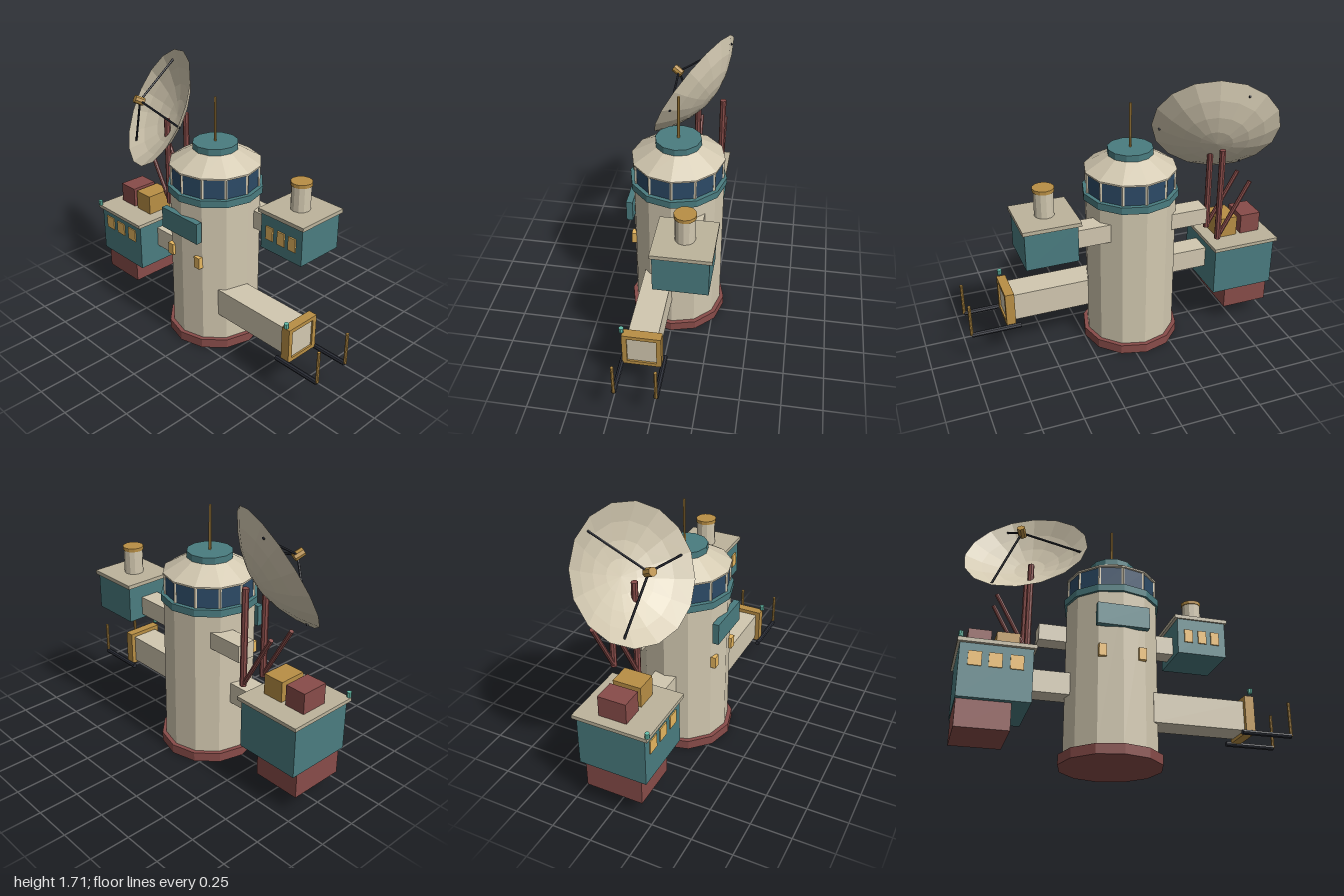
import * as THREE from 'three';

const mat = (color, side = THREE.FrontSide) => {
  const m = new THREE.MeshStandardMaterial({ color, side });
  m.flatShading = true;
  return m;
};
const cream = mat(0xd2c8b0), roofing = mat(0xbdb49c), teal = mat(0x4a7c80), red = mat(0x884c49);
const gold = mat(0xb98f45), amber = mat(0xe8b860), glass = mat(0x2c4a66), dark = mat(0x2a2d36), lampGreen = mat(0x66c0ac);

const TX = -0.065; // tower axis

export function createModel() {
  const root = new THREE.Group();

  const add = (parent, name, geo, m) => {
    const mesh = new THREE.Mesh(geo, m);
    mesh.name = name;
    parent.add(mesh);
    return mesh;
  };
  // box from its low and high corners
  const box = (name, m, [x0, x1], [y0, y1], [z0, z1]) => {
    const b = add(root, name, new THREE.BoxGeometry(x1 - x0, y1 - y0, z1 - z0), m);
    b.position.set((x0 + x1) / 2, (y0 + y1) / 2, (z0 + z1) / 2);
    return b;
  };
  // upright cylinder or frustum
  const drum = (name, m, x, z, [y0, y1], r0, r1 = r0, sides = 12) => {
    const d = add(root, name, new THREE.CylinderGeometry(r1, r0, y1 - y0, sides), m);
    d.position.set(x, (y0 + y1) / 2, z);
    return d;
  };
  // round rod between two points
  const rod = (parent, name, m, from, to, r, sides = 8) => {
    const a = new THREE.Vector3(...from), b = new THREE.Vector3(...to);
    const d = add(parent, name, new THREE.CylinderGeometry(r, r, a.distanceTo(b), sides), m);
    d.position.copy(a).lerp(b, 0.5);
    d.quaternion.setFromUnitVectors(new THREE.Vector3(0, 1, 0), b.sub(a).normalize());
    return d;
  };

  // Tower
  drum('towerBase', red, TX, 0, [0, 0.06], 0.31);
  drum('towerBody', cream, TX, 0, [0.06, 1.0], 0.283);
  drum('towerRing', teal, TX, 0, [1.0, 1.045], 0.298);
  drum('controlRoomGlass', glass, TX, 0, [1.045, 1.17], 0.272);
  for (let i = 0; i < 12; i++) {
    const a = (i / 12) * Math.PI * 2;
    const bar = drum('windowBar', cream, TX + Math.sin(a) * 0.272, Math.cos(a) * 0.272, [1.045, 1.17], 0.009, 0.009, 4);
    bar.rotation.y = a;
  }
  drum('roofRim', cream, TX, 0, [1.17, 1.18], 0.285);
  drum('towerRoof', cream, TX, 0, [1.18, 1.265], 0.285, 0.14);
  drum('roofCap', teal, TX, 0, [1.265, 1.305], 0.14);
  drum('antenna', gold, TX, 0, [1.305, 1.58], 0.008, 0.008, 6);
  box('signBoard', teal, [-0.225, 0.09], [0.77, 0.905], [0.26, 0.3]);
  for (const x of [-0.12, 0, 0.12])
    box('towerWindow', amber, [TX + x - 0.023, TX + x + 0.023], [0.58, 0.655], [0.24, 0.275]);

  // Lower pod with roof crates
  box('lowerPodArm', cream, [-0.58, -0.25], [0.4, 0.535], [-0.07, 0.07]);
  box('lowerPod', teal, [-0.985, -0.57], [0.275, 0.595], [-0.215, 0.215]);
  box('lowerPodRoof', roofing, [-1.0, -0.555], [0.592, 0.615], [-0.237, 0.237]);
  box('lowerPodHold', red, [-0.98, -0.675], [0.115, 0.275], [-0.178, 0.182]);
  for (const x of [-0.897, -0.782, -0.662])
    box('lowerPodWindow', amber, [x - 0.038, x + 0.038], [0.46, 0.545], [0.21, 0.222]);
  box('redCrate', red, [-0.935, -0.8], [0.615, 0.745], [-0.1, 0.077]);
  box('goldCrate', gold, [-0.77, -0.635], [0.615, 0.745], [-0.1, 0.077]);
  drum('podLamp', lampGreen, -0.984, 0.232, [0.615, 0.648], 0.014, 0.014, 8);

  // Upper pod with chimney
  box('upperPodArm', cream, [0.05, 0.37], [0.79, 0.908], [-0.192, -0.068]);
  box('upperPod', teal, [0.36, 0.677], [0.765, 1.0], [-0.287, 0.033]);
  box('upperPodRoof', roofing, [0.342, 0.69], [0.998, 1.022], [-0.303, 0.045]);
  for (const x of [0.43, 0.52, 0.605])
    box('upperPodWindow', amber, [x - 0.027, x + 0.027], [0.84, 0.925], [0.025, 0.042]);
  drum('chimney', cream, 0.515, -0.129, [1.02, 1.178], 0.06);
  drum('chimneyCap', gold, 0.515, -0.129, [1.175, 1.197], 0.065);

  // Dish support arm, masts and braces
  box('dishArm', cream, [-0.505, -0.2], [0.79, 0.895], [-0.182, -0.06]);
  for (const z of [-0.21, -0.05]) {
    rod(root, 'dishMast', red, [-0.575, 0.685, z], [-0.575, 1.287, z], 0.02);
    rod(root, 'dishBrace', red, [-0.575, 0.69, z], [-0.775, 1.05, z], 0.014);
  }

  // Dish: bowl opens along the group's +z
  const dish = new THREE.Group();
  dish.name = 'dish';
  dish.position.set(-0.62, 1.363, -0.015);
  dish.lookAt(dish.position.clone().add(new THREE.Vector3(-0.34, 0.46, 0.82)));
  root.add(dish);
  const R = 0.394, depth = 0.145;
  const bowlDepth = (r) => -depth * (1 - (r / R) ** 2);
  const profile = [0, 0.25, 0.5, 0.75, 1].map((t) => new THREE.Vector2(t * R, bowlDepth(t * R)));
  const bowl = new THREE.LatheGeometry(profile, 16).rotateX(Math.PI / 2);
  add(dish, 'dishBowl', bowl, mat(0xd2c8b0, THREE.DoubleSide));
  for (let i = 0; i < 3; i++) {
    const a = (i * Math.PI * 2) / 3, r = 0.35;
    rod(dish, 'feedLeg', dark, [Math.cos(a) * r, Math.sin(a) * r, bowlDepth(r) - 0.004], [0, 0, 0.13], 0.007, 6);
  }
  rod(dish, 'dishFeed', gold, [0, 0, 0.105], [0, 0, 0.168], 0.026);

  // Docking arm with framed door
  box('dockingArm', cream, [0.145, 0.752], [0.242, 0.423], [-0.002, 0.178]);
  for (const [y0, y1] of [[0.222, 0.247], [0.425, 0.45]])
    box('doorFrame', gold, [0.705, 0.763], [y0, y1], [-0.03, 0.206]);
  for (const [z0, z1] of [[-0.03, 0], [0.176, 0.206]])
    box('doorFrame', gold, [0.705, 0.763], [0.24, 0.43], [z0, z1]);

  // Landing rails with end posts
  for (const z of [-0.037, 0.211]) {
    rod(root, 'landingRail', dark, [0.675, 0.219, z], [0.985, 0.219, z], 0.016);
    rod(root, 'railPost', gold, [0.987, 0.22, z], [0.987, 0.43, z], 0.01);
  }
  drum('doorLamp', lampGreen, 0.74, 0.208, [0.463, 0.493], 0.015, 0.015, 8);

  return root;
}
